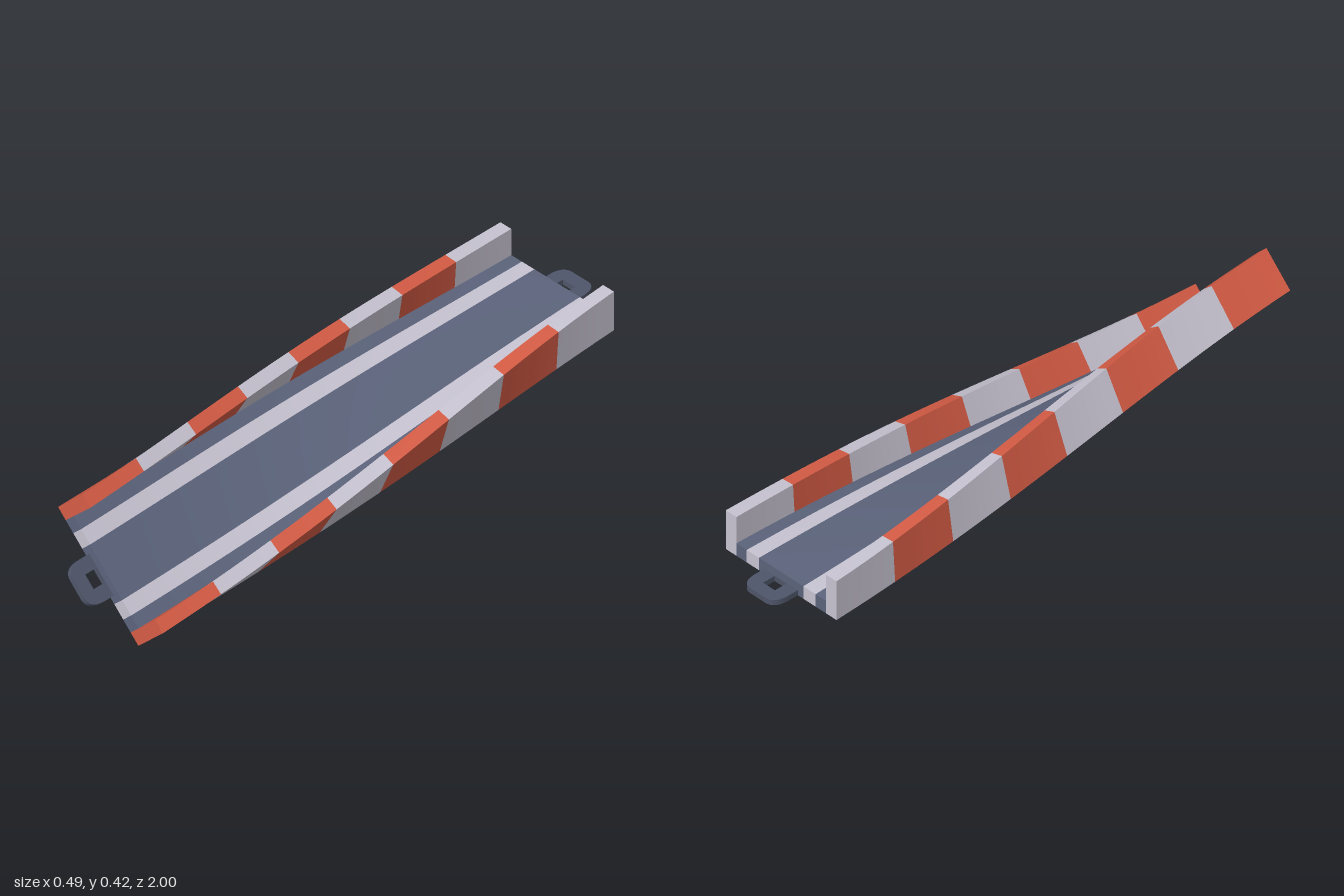
import * as THREE from 'three';

const material = (name, color) => {
  const m = new THREE.MeshStandardMaterial({ color });
  m.name = name;
  return m;
};

export function createModel() {
  const model = new THREE.Group();
  model.name = 'twistedTrack';
  const asphalt = material('slate grey', 0x5c647c);
  const light = material('pale grey', 0xc8c4d2);
  const red = material('kerb red', 0xd65c45);
  const steel = material('dark slate', 0x4f566a);

  // Half length, half width, inner half width, wall height, floor thickness
  const L = 0.91, W = 0.225, I = 0.182, H = 0.137, F = 0.044;
  const PX = -0.02, PY = 0.163, TWIST = Math.PI / 4;

  // Eased roll about the underside's centre line
  const angleAt = (z) => {
    const t = (z + L) / (2 * L);
    return -TWIST * (0.45 * t + 0.55 * t * t * (3 - 2 * t));
  };
  const place = (u, v, z) => {
    const c = Math.cos(angleAt(z)), s = Math.sin(angleAt(z));
    return [PX + u * c - v * s, PY + u * s + v * c, z];
  };

  const addMesh = (name, pos, index, mat) => {
    const g = new THREE.BufferGeometry();
    g.setAttribute('position', new THREE.Float32BufferAttribute(pos, 3));
    g.setIndex(index);
    g.computeVertexNormals();
    const mesh = new THREE.Mesh(g, mat);
    mesh.name = name;
    model.add(mesh);
  };

  // Sweep each edge of a counter-clockwise path along z, keeping path corners sharp
  const sweep = (name, path, z0, z1, steps, mat) => {
    const pos = [], index = [];
    for (let e = 0; e < path.length - 1; e++) {
      const base = pos.length / 3;
      for (let i = 0; i <= steps; i++) {
        const z = z0 + ((z1 - z0) * i) / steps;
        pos.push(...place(...path[e], z), ...place(...path[e + 1], z));
      }
      for (let i = 0; i < steps; i++) {
        const a = base + i * 2;
        index.push(a, a + 1, a + 3, a, a + 3, a + 2);
      }
    }
    addMesh(name, pos, index, mat);
  };

  // Flat end cap between two offsets across the track
  const cap = (name, u0, u1, h, z, mat) => {
    const pos = [[u0, 0], [u1, 0], [u1, h], [u0, h]].flatMap(([u, v]) => place(u, v, z));
    addMesh(name, pos, z > 0 ? [0, 1, 2, 0, 2, 3] : [0, 2, 1, 0, 3, 2], mat);
  };

  // Walls and underside in eight alternating bands
  const shell = [[-I, F], [-I, H], [-W, H], [-W, 0], [W, 0], [W, H], [I, H], [I, F]];
  const band = (2 * L) / 8;
  for (let i = 0; i < 8; i++) {
    sweep('wallBand', shell, -L + i * band, -L + (i + 1) * band, 6, i % 2 ? red : light);
  }

  // Road surface with two lane stripes, and its ends
  const lanes = [-I, -0.14, -0.09, 0.09, 0.14, I];
  for (let i = 0; i < 5; i++) {
    const mat = i % 2 ? light : asphalt;
    const name = i % 2 ? 'laneStripe' : 'road';
    sweep(name, [[lanes[i + 1], F], [lanes[i], F]], -L, L, 48, mat);
    for (const z of [-L, L]) cap(name + 'End', lanes[i], lanes[i + 1], F, z, mat);
  }
  for (const z of [-L, L]) {
    for (const [a, b] of [[-W, -I], [I, W]]) cap('wallEnd', a, b, H, z, z > 0 ? red : light);
  }

  // Connector loops at both ends
  const loop = new THREE.Shape();
  loop.moveTo(-0.068, 0);
  loop.lineTo(-0.068, 0.04);
  loop.quadraticCurveTo(-0.066, 0.09, -0.03, 0.09);
  loop.lineTo(0.03, 0.09);
  loop.quadraticCurveTo(0.066, 0.09, 0.068, 0.04);
  loop.lineTo(0.068, 0);
  loop.closePath();
  const hole = new THREE.Path();
  hole.moveTo(-0.024, 0.002);
  hole.lineTo(0.024, 0.002);
  hole.lineTo(0.024, 0.047);
  hole.lineTo(-0.024, 0.047);
  hole.closePath();
  loop.holes.push(hole);
  const loopGeo = new THREE.ExtrudeGeometry(loop, { depth: 0.018, bevelEnabled: false, curveSegments: 8 });
  loopGeo.rotateX(Math.PI / 2).translate(0, 0.018, 0);
  for (const end of [-1, 1]) {
    const link = new THREE.Mesh(loopGeo, steel);
    link.name = end > 0 ? 'frontConnector' : 'backConnector';
    link.position.set(PX, PY, end * L);
    if (end > 0) link.rotation.z = -TWIST;
    else link.rotation.y = Math.PI;
    model.add(link);
  }
  return model;
}
